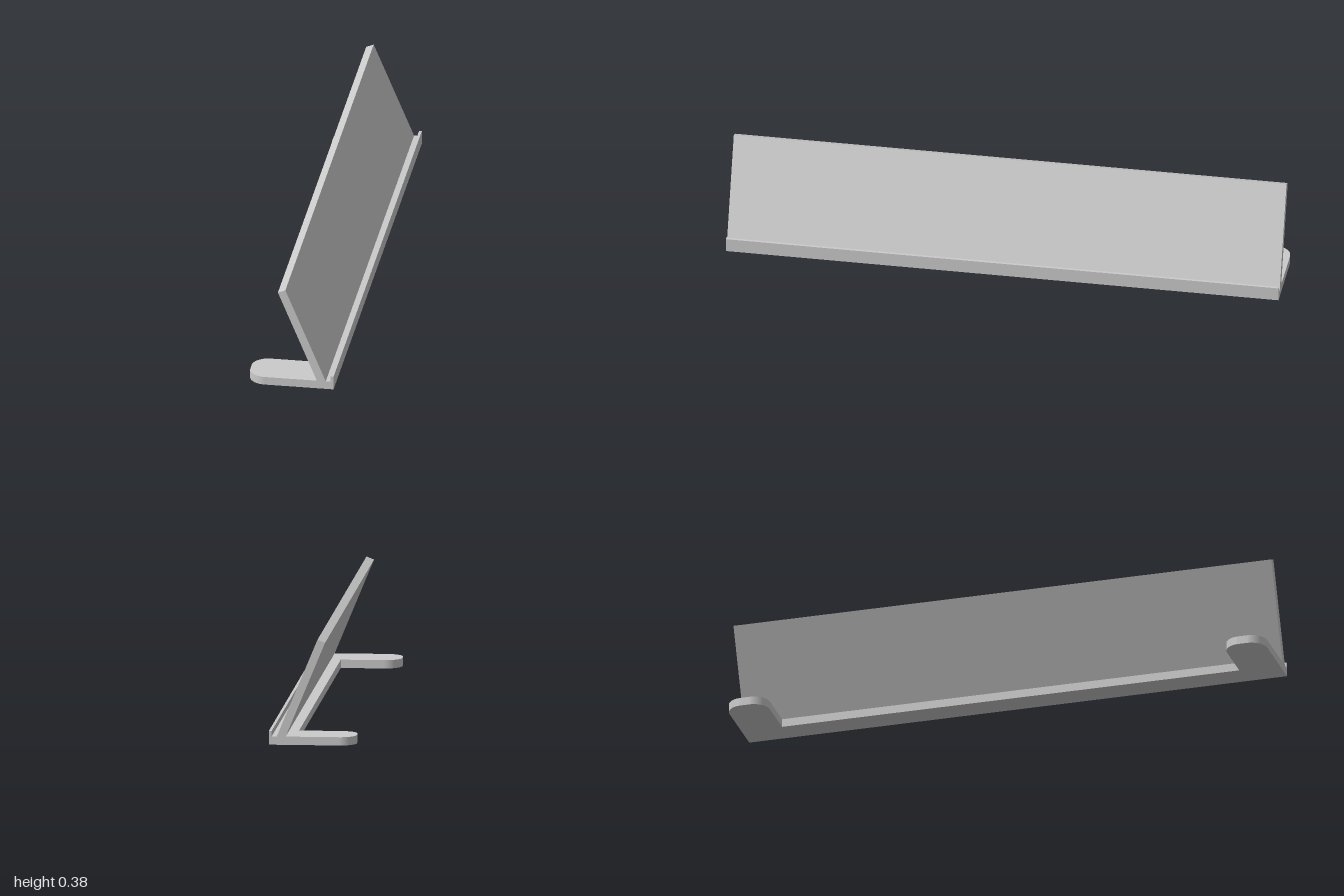
import * as THREE from 'three';

const LENGTH = 2, BASE_H = 0.03, BASE_BACK = 0.06;
const FOOT_W = 0.15, FOOT_TIP = -0.155, FOOT_R = 0.06;

export function createModel() {
  const group = new THREE.Group();
  const material = new THREE.MeshStandardMaterial({ color: 0xcccccc });

  // Base strip, front lip and leaning plate share one constant section
  const section = new THREE.Shape([
    [BASE_BACK, 0], [0.155, 0], [0.155, 0.05], [0.145, 0.05], [0.145, BASE_H],
    [0.127, BASE_H], [-0.019, 0.381], [-0.046, 0.37], [0.095, BASE_H], [BASE_BACK, BASE_H],
  ].map(([x, y]) => new THREE.Vector2(x, y)));
  const standGeometry = new THREE.ExtrudeGeometry(section, { depth: LENGTH, bevelEnabled: false });
  standGeometry.translate(0, 0, -LENGTH / 2);
  const stand = new THREE.Mesh(standGeometry, material);
  stand.name = 'plateWithLip';
  group.add(stand);

  // Flat foot with rounded tip, drawn in plan and extruded upwards
  const h = FOOT_W / 2;
  const plan = new THREE.Shape();
  plan.moveTo(BASE_BACK, -h);
  plan.lineTo(BASE_BACK, h);
  plan.lineTo(FOOT_TIP + FOOT_R, h);
  plan.absarc(FOOT_TIP + FOOT_R, h - FOOT_R, FOOT_R, Math.PI / 2, Math.PI, false);
  plan.lineTo(FOOT_TIP, FOOT_R - h);
  plan.absarc(FOOT_TIP + FOOT_R, FOOT_R - h, FOOT_R, Math.PI, Math.PI * 1.5, false);
  plan.closePath();
  const footGeometry = new THREE.ExtrudeGeometry(plan, { depth: BASE_H, bevelEnabled: false, curveSegments: 16 });
  footGeometry.rotateX(-Math.PI / 2);

  // One foot at each end
  for (const [name, side] of [['frontFoot', 1], ['backFoot', -1]]) {
    const foot = new THREE.Mesh(footGeometry, material);
    foot.name = name;
    foot.position.z = side * (LENGTH / 2 - h);
    group.add(foot);
  }
  return group;
}
